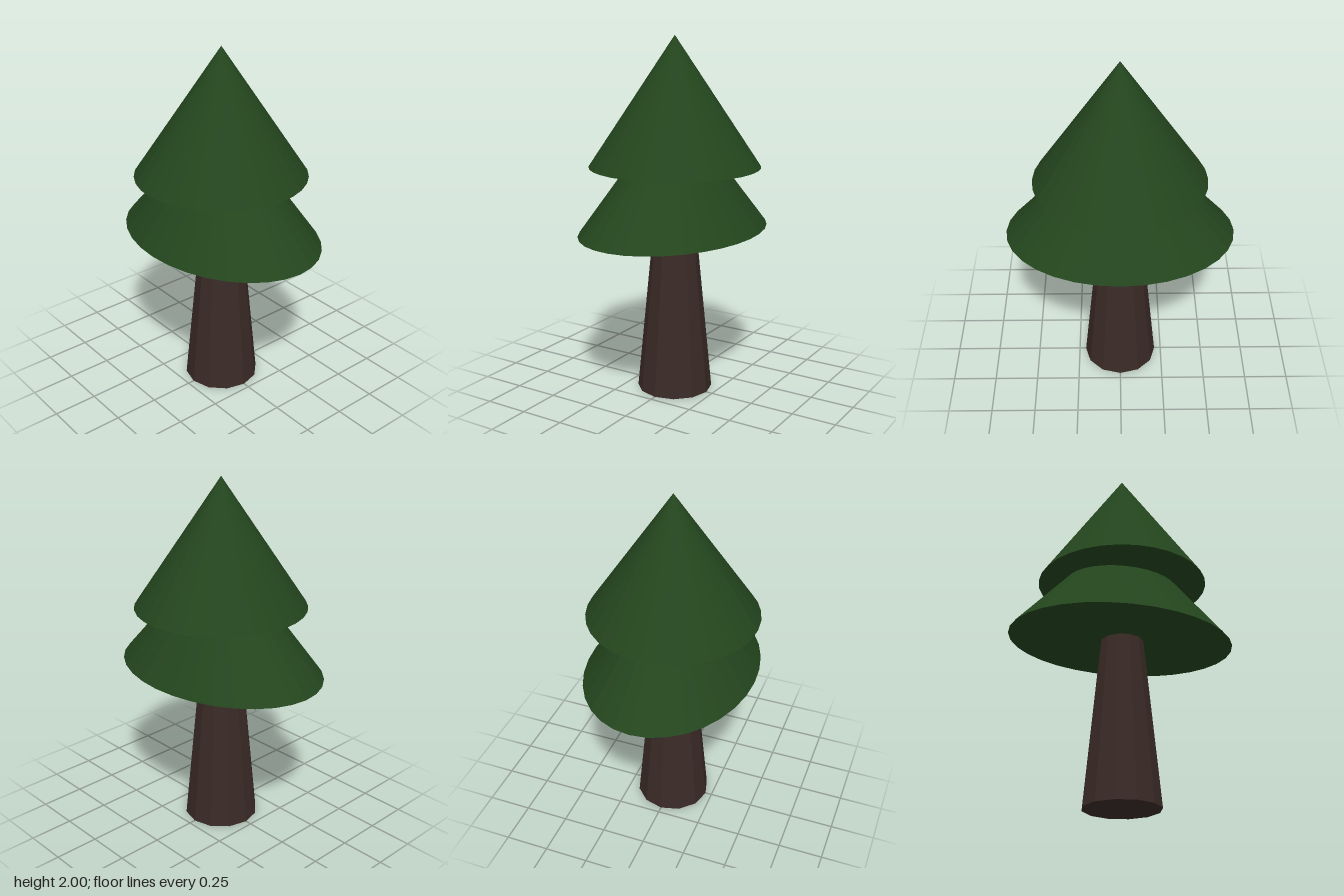
import * as THREE from 'three';

export function createModel() {
  const tree = new THREE.Group();
  tree.name = 'pineTree';

  const bark = new THREE.MeshStandardMaterial({ color: 0x3a2a26, flatShading: true });
  const needles = new THREE.MeshStandardMaterial({ color: 0x23451d, flatShading: true });

  // Adds a capped, upright part whose underside sits at height y
  function addPart(name, geometry, material, y, height) {
    const mesh = new THREE.Mesh(geometry, material);
    mesh.name = name;
    mesh.position.y = y + height / 2;
    tree.add(mesh);
    return mesh;
  }

  // Tapered trunk
  const trunkHeight = 0.94;
  addPart('trunk', new THREE.CylinderGeometry(0.12, 0.212, trunkHeight, 12), bark, 0, trunkHeight);

  // Two foliage cones of equal height; the lower one is stretched front to back
  const coneHeight = 0.71;
  const coneRadius = 0.475;
  const tiers = [
    { name: 'lowerFoliage', y: 0.94, depth: 0.638 },
    { name: 'upperFoliage', y: 1.29, depth: coneRadius },
  ];
  for (const { name, y, depth } of tiers) {
    const cone = new THREE.ConeGeometry(coneRadius, coneHeight, 32);
    cone.scale(1, 1, depth / coneRadius);
    addPart(name, cone, needles, y, coneHeight);
  }

  return tree;
}
